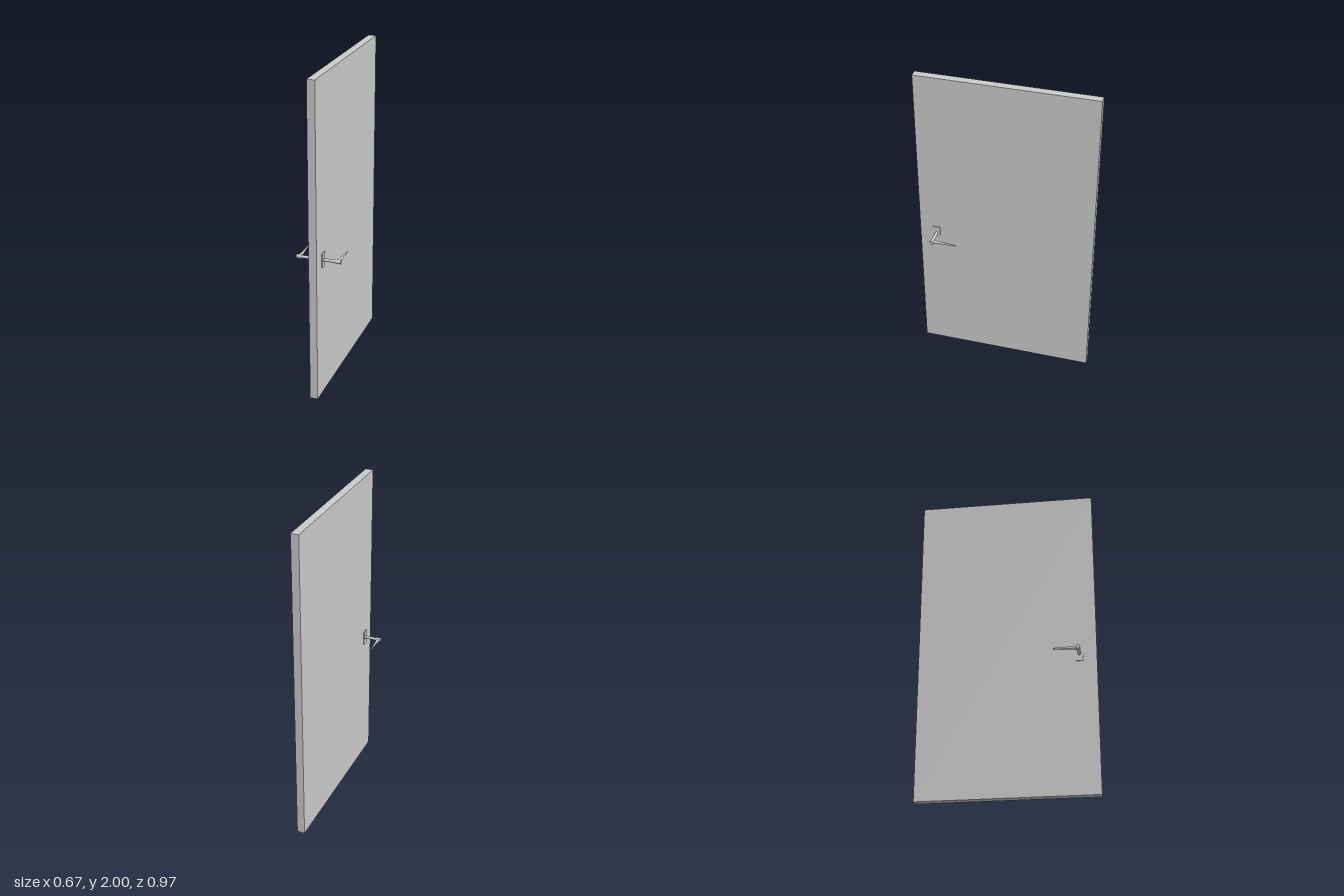
import * as THREE from 'three';

const material = new THREE.MeshStandardMaterial({ color: 0xcccccc });

function part(name, geometry, x = 0, y = 0, z = 0) {
  const mesh = new THREE.Mesh(geometry, material);
  mesh.name = name;
  mesh.position.set(x, y, z);
  return mesh;
}

// Round bar lying along z
const bar = (radius, length) =>
  new THREE.CylinderGeometry(radius, radius, length, 24).rotateX(Math.PI / 2);

// Tapered lever along +x, flattened to a thin tip that leans outwards (+z)
function leverGeometry(length) {
  const geometry = new THREE.CylinderGeometry(0.005, 0.011, length, 24, 6);
  geometry.rotateZ(-Math.PI / 2).translate(length / 2, 0, 0);
  const p = geometry.attributes.position;
  for (let i = 0; i < p.count; i++) {
    const t = p.getX(i) / length;
    p.setZ(i, p.getZ(i) * (1 - 0.6 * t) + 0.005 * t);
  }
  geometry.computeVertexNormals();
  return geometry;
}

// One side's handle, projecting along +z from the middle of the door
function createHandle(name) {
  const handle = new THREE.Group();
  handle.name = name;
  handle.add(
    part('backPlate', new THREE.BoxGeometry(0.046, 0.09, 0.008), 0, 0, 0.027),
    part('spindle', bar(0.0095, 0.11), 0, 0, 0.06),
    part('boss', bar(0.0125, 0.034), 0, 0, 0.122),
    part('lever', leverGeometry(0.152), 0, 0, 0.12)
  );
  return handle;
}

export function createModel() {
  const model = new THREE.Group();
  model.name = 'door';

  // The whole door stands swung open
  const leaf = new THREE.Group();
  leaf.name = 'doorLeaf';
  leaf.position.set(0.021, 0, -0.002);
  leaf.rotation.y = 1.016;
  leaf.add(part('panel', new THREE.BoxGeometry(1.106, 2, 0.049), 0, 1, 0));

  // Matching handles on both faces, mirrored through the panel
  for (const side of [1, -1]) {
    const handle = createHandle(side > 0 ? 'frontHandle' : 'backHandle');
    handle.position.set(-0.446, 0.889, 0);
    handle.scale.z = side;
    leaf.add(handle);
  }

  model.add(leaf);
  return model;
}
